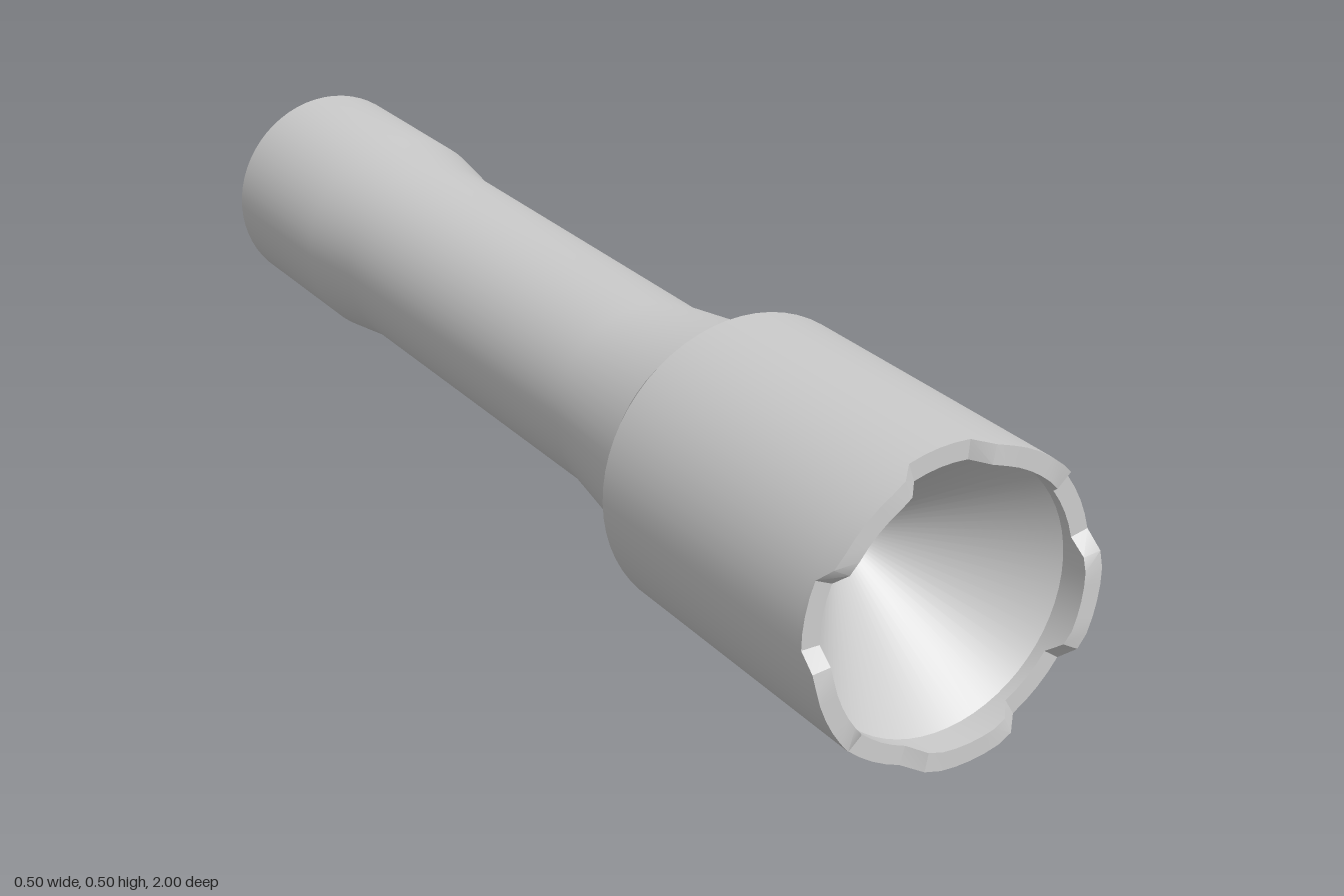
import * as THREE from 'three';
import { toCreasedNormals } from 'three/addons/utils/BufferGeometryUtils.js';

const SEGMENTS = 60;
const NOTCHES = 5;
const NOTCH_PHASE = 25; // degrees, counter-clockwise from +x seen from the front
const NOTCH_DEPTH = 0.03;

// Revolve [radius, z] pairs about the z axis
function revolve(profile) {
  const start = THREE.MathUtils.degToRad(NOTCH_PHASE + 90);
  const points = profile.map(([r, z]) => new THREE.Vector2(r, z));
  return new THREE.LatheGeometry(points, SEGMENTS, start).rotateX(Math.PI / 2);
}

// Push the front edge back in evenly spaced trapezoid notches
function cutNotches(geometry) {
  const pos = geometry.attributes.position;
  const pitch = 360 / NOTCHES;
  for (let i = 0; i < pos.count; i++) {
    if (pos.getZ(i) < 0.999) continue;
    const angle = THREE.MathUtils.radToDeg(Math.atan2(pos.getY(i), pos.getX(i)));
    const offset = Math.abs(THREE.MathUtils.euclideanModulo(angle - NOTCH_PHASE + pitch / 2, pitch) - pitch / 2);
    const cut = THREE.MathUtils.clamp((19 - offset) / 7, 0, 1);
    pos.setZ(i, 1 - NOTCH_DEPTH * cut);
  }
  return geometry;
}

export function createModel() {
  const group = new THREE.Group();
  const material = new THREE.MeshStandardMaterial({ color: 0xcccccc });
  const add = (name, geometry) => {
    const mesh = new THREE.Mesh(geometry, material);
    mesh.name = name;
    mesh.position.y = 0.249;
    group.add(mesh);
  };

  // Handle: thicker tail, slim grip, flaring neck
  add('handle', revolve([
    [0.184, -1], [0.184, -0.7], [0.167, -0.58], [0.167, 0.165], [0.2, 0.385],
  ]));

  // Flat tail cap
  add('tailCap', new THREE.CircleGeometry(0.184, SEGMENTS).rotateY(Math.PI).translate(0, 0, -1));

  // Head: shoulder, barrel, notched rim and short inner wall
  const head = cutNotches(revolve([
    [0.2, 0.385], [0.247, 0.445], [0.248, 0.96], [0.248, 1], [0.218, 1], [0.218, 0.95],
  ]));
  add('head', toCreasedNormals(head, 0.6));

  // Conical reflector inside the head
  add('reflector', revolve([[0.218, 0.95], [0.03, 0.72], [0, 0.71]]));

  return group;
}
